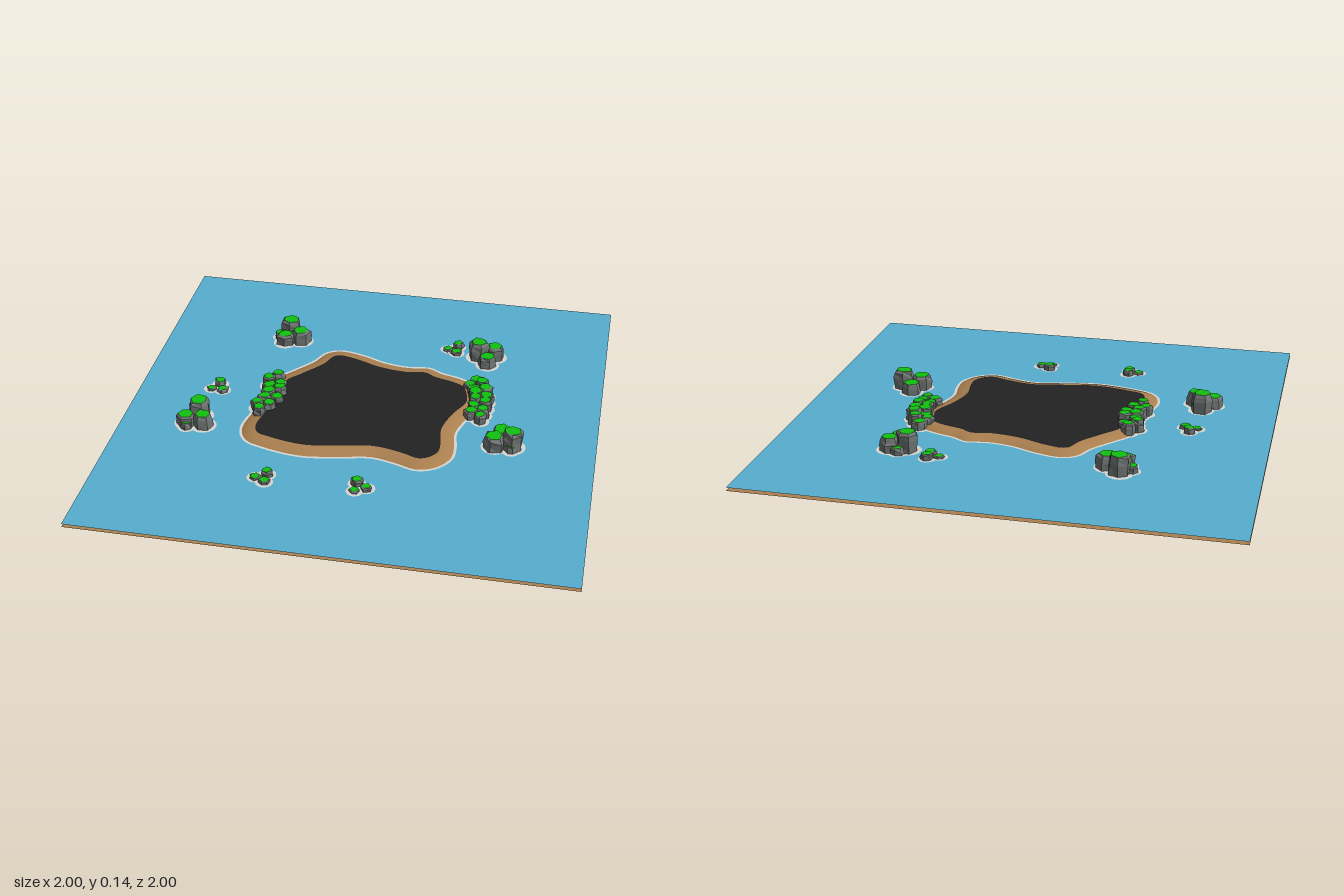
import * as THREE from 'three';
import { mergeGeometries } from 'three/addons/utils/BufferGeometryUtils.js';

const WATER_Y = 0.05, BED_Y = 0.036, TOP_Y = 0.067;
const SAMPLES = 140, BEACH_WIDTH = 0.068;

const flat = (name, color, opts = {}) => {
  const m = new THREE.MeshStandardMaterial({ color, ...opts });
  m.name = name;
  return m;
};
const curve = (pts, closed) =>
  new THREE.CatmullRomCurve3(pts.map(([x, z]) => new THREE.Vector3(x, 0, z)), closed);

// Shoreline seen from above, starting at the back right
const SHORE = [
  [-.19, -.445], [-.085, -.425], [.03, -.38], [.13, -.365], [.23, -.375], [.285, -.345],
  [.38, -.315], [.45, -.27], [.495, -.11], [.44, .03], [.418, .12], [.43, .21],
  [.425, .3], [.37, .375], [.29, .405], [.19, .375], [.095, .355], [-.02, .375],
  [-.19, .4], [-.36, .37], [-.45, .33], [-.49, .24], [-.44, -.03], [-.44, -.15],
  [-.365, -.25], [-.3, -.33], [-.255, -.415],
];

// Closed band along the shore; profile rows are [blend outer to inner, height]
function band(outer, inner, profile) {
  const pos = [], idx = [];
  for (const [t, y] of profile)
    outer.forEach((o, i) => {
      const p = o.clone().lerp(inner[i], t);
      pos.push(p.x, y, p.z);
    });
  for (let r = 0; r < profile.length - 1; r++)
    for (let i = 0; i < SAMPLES; i++) {
      const j = (i + 1) % SAMPLES, a = r * SAMPLES, b = a + SAMPLES;
      idx.push(a + i, b + i, a + j, b + i, b + j, a + j);
    }
  const g = new THREE.BufferGeometry();
  g.setAttribute('position', new THREE.Float32BufferAttribute(pos, 3));
  g.setIndex(idx);
  g.computeVertexNormals();
  return g;
}

// Flat upward-facing polygon
function plate(points, y) {
  const s = new THREE.Shape(points.map(p => new THREE.Vector2(p.x, -p.z)));
  return new THREE.ShapeGeometry(s).rotateX(-Math.PI / 2).translate(0, y, 0);
}

let seed = 7;
const rand = () => (seed = (seed * 16807) % 2147483647) / 2147483647;

// One chunky stone: faceted sides, mossy cap, closed underside, foam at the waterline
function stone([x, z, r, y0, y1]) {
  const sides = 6, h = y1 - y0;
  const rows = [[0.82, 0], [1, h * 0.35], [1.02, h * 0.72], [0.95, h * 0.88], [0.78, h]];
  const body = new THREE.LatheGeometry(rows.map(([k, y]) => new THREE.Vector2(k * r, y)), sides);
  const p = body.attributes.position, n = rows.length;
  const turn = rand() * 6;
  const bump = Array.from({ length: sides * n }, () => 0.88 + rand() * 0.24);
  const corner = Array.from({ length: sides }, () => 0.9 + rand() * 0.25);
  for (let i = 0; i <= sides; i++)
    for (let j = 0; j < n; j++) {
      const v = i * n + j, s = i % sides, k = corner[s] * bump[s * n + j];
      const mid = j > 0 && j < n - 1 ? (bump[s * n + j] - 1) * h * 0.5 : 0;
      p.setXYZ(v, p.getX(v) * k, p.getY(v) + mid, p.getZ(v) * k);
    }
  body.rotateY(turn).translate(x, y0, z);
  const ring = j => Array.from({ length: sides }, (_, i) =>
    new THREE.Vector3().fromBufferAttribute(p, i * n + j));
  const foam = new THREE.CircleGeometry(r * 1.06 + 0.011, 14)
    .rotateX(-Math.PI / 2).translate(x, WATER_Y + 0.001, z);
  return { body: mergeGeometries([body, plate(ring(0), y0)]), cap: plate(ring(n - 1), y1), foam };
}

// Stone placed at an angle in degrees around a cluster centre
const around = (x, z, deg, dist, r, y0, y1) => {
  const a = THREE.MathUtils.degToRad(deg);
  return [x + Math.cos(a) * dist, z + Math.sin(a) * dist, r, y0, y1];
};
const trio = (x, z, turn, dist, r, y0, tops) =>
  tops.map((top, i) => around(x, z, turn + i * 120, dist, r * (1 - i * 0.04), y0, top));

// Zigzag row of stones along a path
const ridge = (path, count) => {
  const c = curve(path, false);
  return Array.from({ length: count }, (_, i) => {
    const t = i / (count - 1), p = c.getPointAt(t), d = c.getTangentAt(t);
    const off = (i % 2 ? 1 : -1) * 0.023;
    return [p.x - d.z * off, p.z + d.x * off, 0.027 + rand() * 0.006, 0.025, 0.085 + rand() * 0.02];
  });
};

// Tall rocks: centre x, z, angle of the peak, angle of a small extra stone
const TALL_ROCKS = {
  backRightRock: [-.432, -.497, 250, 190],
  backLeftRock: [.469, -.488, 200, 260],
  frontLeftRock: [.613, .15, 20, 50],
  frontRightRock: [-.68, .228, 275, 122],
};
// Small rocks: centre x, z, angle of the highest stone
const SMALL_ROCKS = {
  smallFrontRightRock: [-.31, .567, 300],
  smallFrontLeftRock: [.086, .557, 240],
  smallRightRock: [-.66, -.039, 275],
  smallBackRock: [.313, -.544, 300],
};

export function createModel() {
  const side = THREE.DoubleSide;
  const water = flat('water', 0x55aecf, { side });
  const sand = flat('sand', 0xab804f, { side });
  const ground = flat('dark ground', 0x222222, { side });
  const foam = flat('foam', 0xd6d6d2, { side });
  const rock = flat('rock', 0x6e7472, { flatShading: true, side });
  const moss = flat('moss', 0x10c010, { side });

  const model = new THREE.Group();
  model.name = 'island';
  const add = (parent, name, geometry, material) => {
    const m = new THREE.Mesh(geometry, material);
    m.name = name;
    parent.add(m);
  };
  const sheet = y => new THREE.PlaneGeometry(2, 2).rotateX(-Math.PI / 2).translate(0, y, 0);

  // Sea and seabed sheets
  add(model, 'seabed', sheet(BED_Y), sand);
  add(model, 'waterSurface', sheet(WATER_Y), water);

  // Island: beach slope, dark plateau and foam line
  const outer = curve(SHORE, true).getSpacedPoints(SAMPLES).slice(0, SAMPLES);
  const inner = outer.map((p, i) => {
    const d = outer[(i + 4) % SAMPLES].clone().sub(outer[(i + SAMPLES - 4) % SAMPLES]).normalize();
    return new THREE.Vector3(p.x - d.z * BEACH_WIDTH, 0, p.z + d.x * BEACH_WIDTH);
  });
  add(model, 'beach', band(outer, inner,
    [[-.2, BED_Y], [.13, WATER_Y], [.4, .058], [.7, .064], [1, TOP_Y]]), sand);
  add(model, 'plateau', plate(inner, TOP_Y), ground);
  add(model, 'shoreFoam', band(outer, inner, [[0, WATER_Y + .001], [.17, WATER_Y + .001]]), foam);

  // Rocks in the water and along the shore
  const addRocks = (name, list) => {
    const g = new THREE.Group();
    g.name = name;
    const stones = list.map(stone);
    add(g, 'stones', mergeGeometries(stones.map(s => s.body)), rock);
    add(g, 'mossCaps', mergeGeometries(stones.map(s => s.cap)), moss);
    add(g, 'rockFoam', mergeGeometries(stones.map(s => s.foam)), foam);
    model.add(g);
  };
  for (const [name, [x, z, turn, extra]] of Object.entries(TALL_ROCKS))
    addRocks(name, [...trio(x, z, turn, .043, .044, 0, [.135, .112, .1]),
      around(x, z, extra, .06, .025, 0, .08)]);
  for (const [name, [x, z, turn]] of Object.entries(SMALL_ROCKS))
    addRocks(name, trio(x, z, turn, .029, .025, .03, [.077, .066, .06]));
  addRocks('rightShoreRidge', ridge([[-.435, -.13], [-.405, -.05], [-.405, .05], [-.45, .12]], 11));
  addRocks('leftShoreRidge', ridge([[.43, -.262], [.472, -.2], [.487, -.09], [.478, .002]], 13));
  return model;
}
